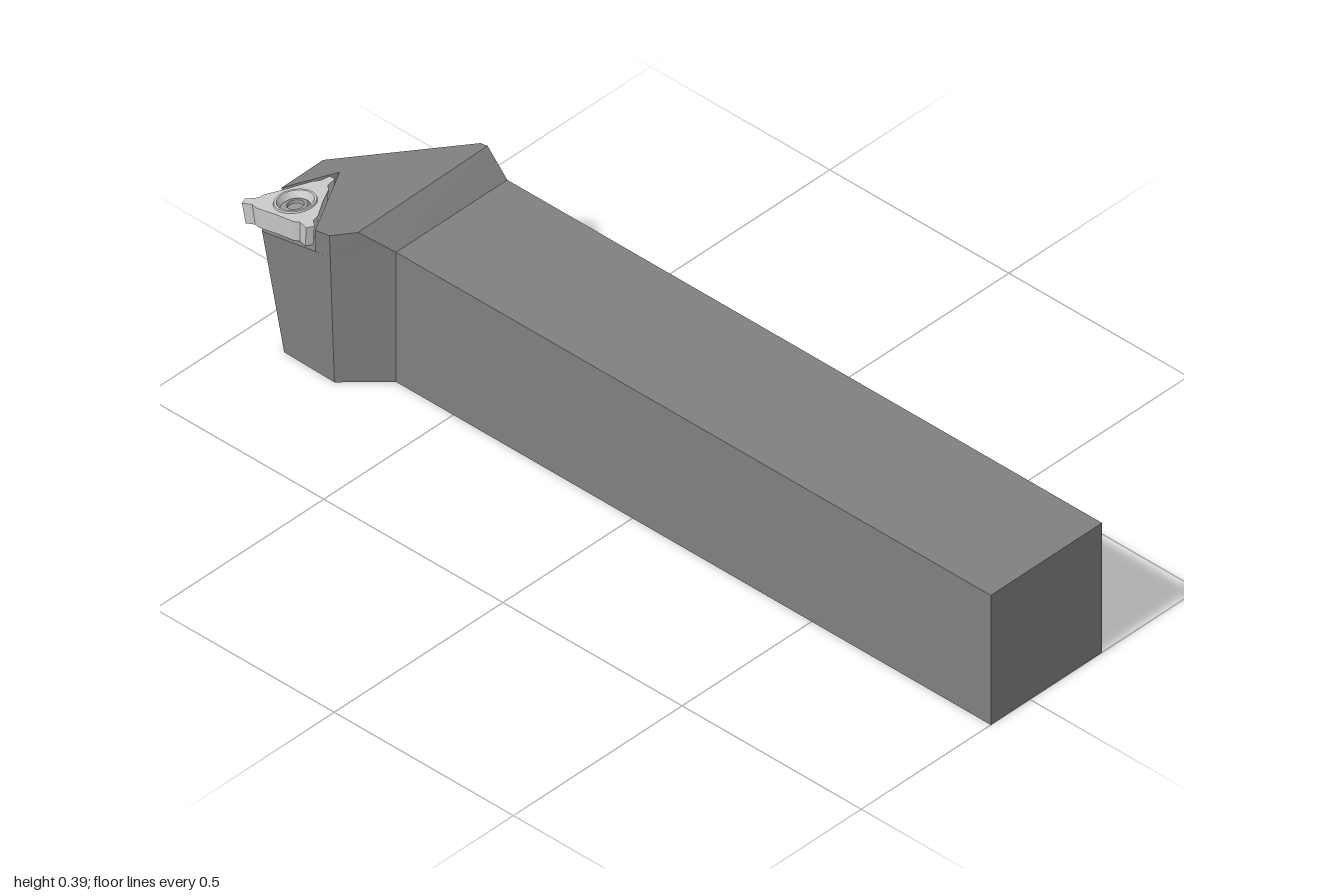
import * as THREE from 'three';
import { toCreasedNormals } from 'three/addons/utils/BufferGeometryUtils.js';

const POCKET_DEPTH = 0.055;
const CENTRE = [-0.153, -0.906]; // insert centre in x, z

// Tilted plane that the head top and the insert lie on
const topY = (x, z) => 0.387 + 0.0156 * x + 0.18 * (z + 0.72);

// Solid between two matching rings, counter-clockwise seen from above
function loft(bottom, top) {
  const pos = [];
  const tri = (a, b, c) => pos.push(...a, ...b, ...c);
  bottom.forEach((b, i) => {
    const j = (i + 1) % bottom.length;
    tri(b, bottom[j], top[j]);
    tri(b, top[j], top[i]);
  });
  const outline = top.map(([x, , z]) => new THREE.Vector2(x, -z));
  for (const [a, b, c] of THREE.ShapeUtils.triangulateShape(outline, [])) {
    tri(top[a], top[b], top[c]);
    tri(bottom[c], bottom[b], bottom[a]);
  }
  const geo = new THREE.BufferGeometry();
  geo.setAttribute('position', new THREE.Float32BufferAttribute(pos, 3));
  geo.computeVertexNormals();
  return geo;
}

// Moves a flat geometry around the insert centre onto the tilted plane
function seat(geo) {
  geo.translate(CENTRE[0], 0, CENTRE[1]);
  const p = geo.attributes.position;
  for (let i = 0; i < p.count; i++) p.setY(i, p.getY(i) + topY(p.getX(i), p.getZ(i)));
  geo.computeVertexNormals();
  return toCreasedNormals(geo, 0.5);
}

export function createModel() {
  const group = new THREE.Group();
  const steel = new THREE.MeshStandardMaterial({ color: 0x808080 });
  const carbide = new THREE.MeshStandardMaterial({ color: 0xcccccc });
  const screwMetal = new THREE.MeshStandardMaterial({ color: 0x999999, side: THREE.DoubleSide });
  const add = (name, geo, mat) => {
    const mesh = new THREE.Mesh(geo, mat);
    mesh.name = name;
    group.add(mesh);
  };

  // Square shank
  const shank = new THREE.BoxGeometry(0.33, 0.333, 1.66);
  shank.translate(0.049, 0.1665, 0.17);
  add('shank', shank, steel);

  // Head outlines at the base, at the pocket floor and at the top
  const base = [[0.214, -0.66], [0.214, -0.735], [0.045, -0.905], [-0.187, -0.905],
    [-0.2, -0.893], [-0.203, -0.75], [-0.116, -0.66]].map(([x, z]) => [x, 0, z]);
  const top = [[0.214, -0.715], [0.214, -0.735], [-0.003, -0.97], [-0.198, -0.97],
    [-0.209, -0.958], [-0.21, -0.757], [-0.17, -0.715]].map(([x, z]) => [x, topY(x, z), z]);
  const floor = base.map((b, i) => {
    if (i === 0 || i === 6) return [b[0], 0.333, b[2]];
    const t = 1 - POCKET_DEPTH / top[i][1];
    return b.map((v, k) => v + (top[i][k] - v) * t);
  });
  add('headBody', loft(base, floor), steel);

  // Upper head, notched on the back corner for the insert pocket
  const notch = (ring, drop) => {
    const wall = [[-0.126, ring[3][2]], [-0.02, -0.908], [ring[5][0], -0.797]]
      .map(([x, z]) => [x, topY(x, z) - drop, z]);
    return [...ring.slice(0, 3), ...wall, ...ring.slice(5)];
  };
  add('headTop', loft(notch(floor, POCKET_DEPTH), notch(top, 0)), steel);

  // Three-cornered cutting insert: one lobe (radius, degrees) repeated
  const lobe = [[0.108, -5], [0.11, 4], [0.088, 8], [0.08, 18], [0.064, 36], [0.057, 60],
    [0.062, 82], [0.076, 100], [0.082, 110]];
  const outline = [];
  for (let k = 0; k < 3; k++) {
    for (const [r, deg] of lobe) {
      const a = THREE.MathUtils.degToRad(deg + k * 120);
      outline.push(new THREE.Vector2(r * Math.cos(a), r * Math.sin(a)));
    }
  }
  const shape = new THREE.Shape(outline);
  shape.holes.push(new THREE.Path().absarc(0, 0, 0.042, 0, Math.PI * 2, true));
  const insert = new THREE.ExtrudeGeometry(shape, { depth: 0.052, bevelEnabled: false, curveSegments: 24 });
  insert.rotateX(-Math.PI / 2);
  insert.translate(0, -0.05, 0);
  // Relief taper towards the underside
  const p = insert.attributes.position;
  for (let i = 0; i < p.count; i++) {
    const s = p.getY(i) < -0.02 ? 0.93 : 1;
    p.setXYZ(i, p.getX(i) * s, p.getY(i), p.getZ(i) * s);
  }
  add('cuttingInsert', seat(insert), carbide);

  // Raised rim around the hole and the recessed screw head
  const lathe = (pts) => new THREE.LatheGeometry(pts.map(([r, y]) => new THREE.Vector2(r, y)), 32);
  const rim = lathe([[0.046, 0], [0.044, 0.006], [0.039, 0.006], [0.031, -0.012]]);
  add('insertRim', seat(rim), new THREE.MeshStandardMaterial({ color: 0xcccccc, side: THREE.DoubleSide }));
  add('clampScrew', seat(lathe([[0.033, -0.012], [0.026, -0.006], [0.018, -0.005], [0.016, -0.012], [0, -0.012]])), screwMetal);

  return group;
}
